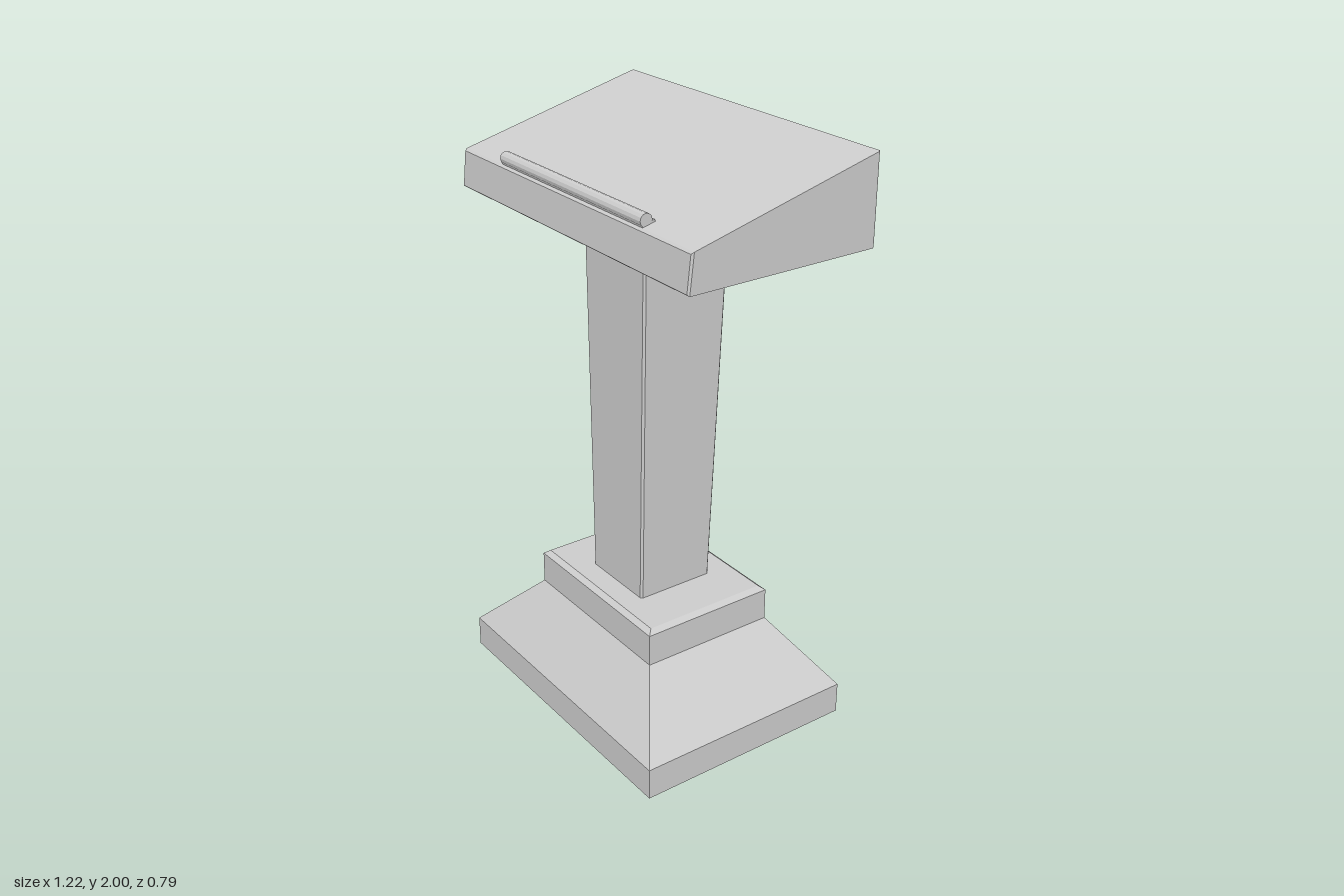
import * as THREE from 'three';

const material = new THREE.MeshStandardMaterial({ color: 0xcccccc, flatShading: true });

// Closed loft through four-cornered rings; the first ring runs counter-clockwise seen from outside
function loft(rings) {
  const pos = [];
  const quad = (a, b, c, d) => pos.push(...a, ...b, ...c, ...a, ...c, ...d);
  for (let i = 0; i < rings.length - 1; i++) {
    const a = rings[i], b = rings[i + 1];
    for (let k = 0; k < 4; k++) {
      const n = (k + 1) % 4;
      quad(a[k], b[k], b[n], a[n]);
    }
  }
  const last = rings[rings.length - 1];
  quad(...rings[0]);
  quad(last[3], last[2], last[1], last[0]);
  const geo = new THREE.BufferGeometry();
  geo.setAttribute('position', new THREE.Float32BufferAttribute(pos, 3));
  geo.computeVertexNormals();
  return geo;
}

// Horizontal ring
const flatRing = (y, x, z) => [[-x, y, -z], [x, y, -z], [x, y, z], [-x, y, z]];

// Upright ring with its own half width and depth at the bottom and the top
const uprightRing = (y0, y1, x0, x1, z0, z1) =>
  [[-x0, y0, z0], [x0, y0, z0], [x1, y1, z1], [-x1, y1, z1]];

export function createModel() {
  const group = new THREE.Group();
  const add = (name, geo) => {
    const mesh = new THREE.Mesh(geo, material);
    mesh.name = name;
    group.add(mesh);
    return mesh;
  };

  // Stepped base with sloping sides and a chamfered cap
  add('base', loft([
    flatRing(0, 0.535, 0.395),
    flatRing(0.11, 0.535, 0.395),
    flatRing(0.325, 0.32, 0.24),
    flatRing(0.436, 0.32, 0.24),
    flatRing(0.45, 0.302, 0.222),
  ]));

  // Post widening upward, with a shallow sunk panel in its back
  const pz0 = -0.135, pz1 = -0.175;
  add('post', loft([
    uprightRing(0.445, 1.715, 0.133, 0.157, 0.145, 0.145),
    uprightRing(0.445, 1.715, 0.14, 0.164, 0.138, 0.138),
    uprightRing(0.445, 1.715, 0.14, 0.164, pz0 + 0.006, pz1 + 0.006),
    uprightRing(0.45, 1.71, 0.134, 0.158, pz0, pz1),
    uprightRing(0.475, 1.685, 0.12, 0.144, pz0, pz1),
    uprightRing(0.475, 1.685, 0.12, 0.144, pz0 + 0.015, pz1 + 0.015),
  ]));

  // Wedge-shaped desk, with a framed recess in its back
  add('desk', loft([
    uprightRing(1.715, 1.828, 0.605, 0.605, 0.32, 0.308),
    uprightRing(1.71, 1.834, 0.61, 0.61, 0.314, 0.3),
    uprightRing(1.71, 1.998, 0.61, 0.61, -0.35, -0.35),
    uprightRing(1.713, 2.0, 0.607, 0.607, -0.356, -0.356),
    uprightRing(1.748, 1.957, 0.568, 0.568, -0.356, -0.356),
    uprightRing(1.748, 1.957, 0.568, 0.568, -0.335, -0.335),
  ]));

  // Round book stop with a small foot along its rear
  const rod = add('bookStop', new THREE.CylinderGeometry(0.021, 0.021, 0.755, 12));
  rod.rotation.z = Math.PI / 2;
  rod.position.set(-0.007, 1.854, 0.286);
  const foot = add('bookStopFoot', new THREE.BoxGeometry(0.755, 0.012, 0.045));
  foot.rotation.x = 0.25;
  foot.position.set(-0.007, 1.841, 0.277);

  return group;
}
